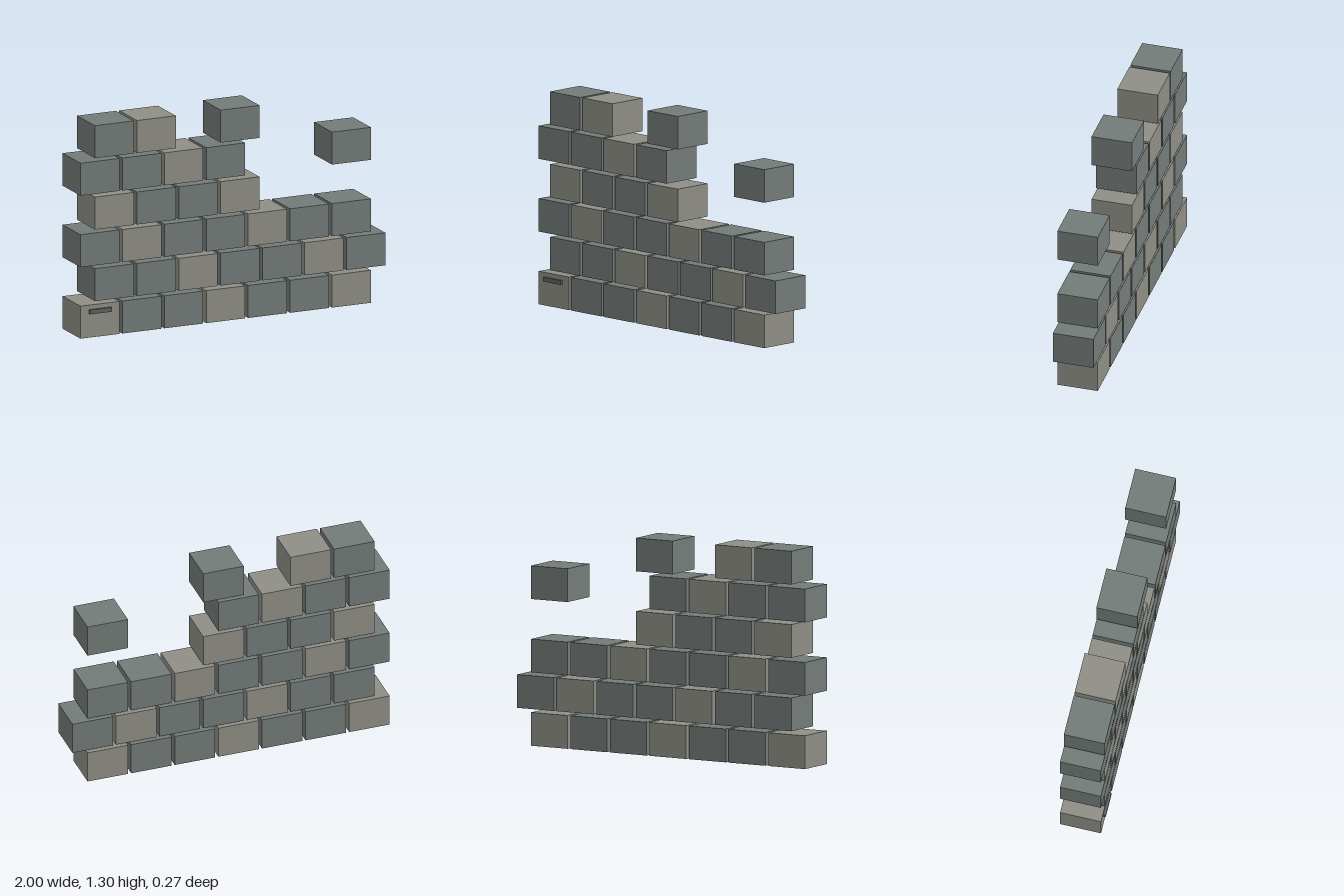
import * as THREE from 'three';

export function createModel() {
  const group = new THREE.Group();
  const dark = new THREE.MeshStandardMaterial({ color: 0x737b78 });
  const light = new THREE.MeshStandardMaterial({ color: 0x8e8e86 });
  const trim = new THREE.MeshStandardMaterial({ color: 0x5c6462 });

  const width = 0.255, height = 0.2, depth = 0.25;
  const stepX = 0.275, stepY = 0.22, centreZ = -0.008;

  // Columns still standing in each course, bottom to top
  const courses = [
    [0, 1, 2, 3, 4, 5, 6],
    [0, 1, 2, 3, 4, 5, 6],
    [0, 1, 2, 3, 4, 5, 6],
    [0, 1, 2, 3],
    [0, 1, 2, 3, 6],
    [0, 1, 3],
  ];

  // Stone blocks in running bond, every third one lighter
  const blockGeometry = new THREE.BoxGeometry(width, height, depth);
  courses.forEach((columns, row) => {
    const course = new THREE.Group();
    course.name = `course${row + 1}`;
    const startX = -1 + width / 2 + (row % 2) * 0.095;
    for (const column of columns) {
      const block = new THREE.Mesh(blockGeometry, (row + column) % 3 === 0 ? light : dark);
      block.name = 'stoneBlock';
      block.position.set(startX + column * stepX, height / 2 + row * stepY, centreZ);
      course.add(block);
    }
    group.add(course);
  });

  // Small raised strip on the front of the corner block
  const strip = new THREE.Mesh(new THREE.BoxGeometry(0.145, 0.026, 0.02), trim);
  strip.name = 'frontStrip';
  strip.position.set(-0.872, 0.16, 0.123);
  group.add(strip);

  return group;
}
